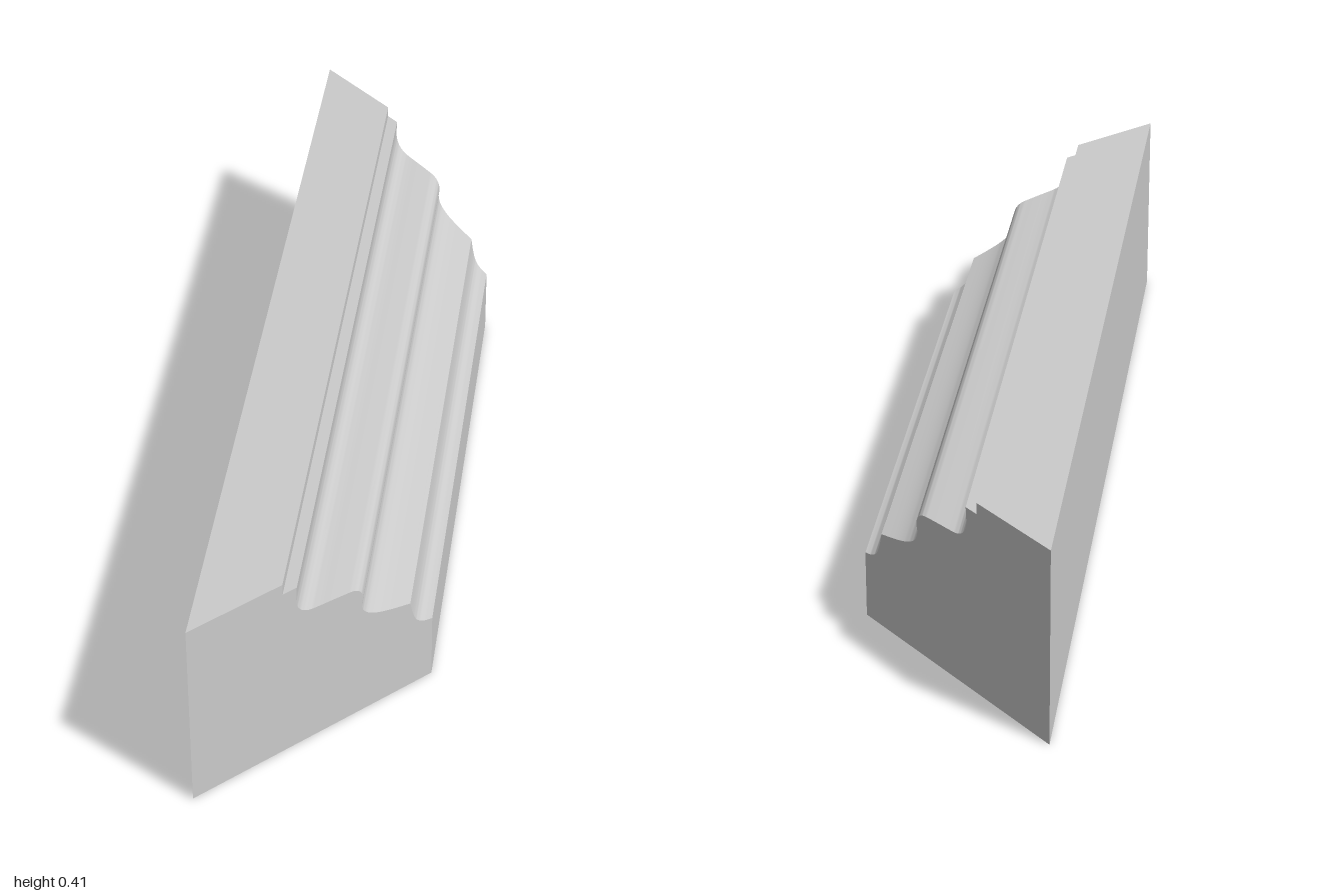
import * as THREE from 'three';
import { toCreasedNormals } from 'three/addons/utils/BufferGeometryUtils.js';

const BACK = -0.203, FRONT = 0.202;
const INNER = 0.597;                        // half length of the front edge
const mitreZ = (x) => INNER + FRONT - x;    // 45 degree mitre at each end

const v2 = (pairs) => pairs.map(([x, y]) => new THREE.Vector2(x, y));
const smooth = (pairs, n) => new THREE.SplineCurve(v2(pairs)).getPoints(n);

// Cross-section from the bottom front corner, over the steps, to the bottom back corner
function makeProfile() {
  const cove = smooth([[FRONT, 0.14], [0.188, 0.144], [0.175, 0.156], [0.168, 0.177], [0.163, 0.205]], 16);
  const ogee = smooth([
    [0.163, 0.205], [0.125, 0.217], [0.1, 0.229], [0.085, 0.244], [0.08, 0.262], [0.082, 0.28],
    [0.078, 0.296], [0.067, 0.306], [0.048, 0.309], [0.03, 0.311], [0, 0.314],
    [-0.012, 0.318], [-0.022, 0.328], [-0.028, 0.347], [-0.027, 0.383],
  ], 56);
  return [
    new THREE.Vector2(FRONT, 0), ...cove, ...ogee.slice(1),
    ...v2([[-0.05, 0.383], [-0.05, 0.406], [BACK, 0.406], [BACK, 0]]),
  ];
}

// Long outer skin swept between the two mitres, open underneath
function skinGeometry(profile) {
  const pos = [];
  const put = (p, side) => pos.push(p.x, p.y, side * mitreZ(p.x));
  for (let i = 0; i < profile.length - 1; i++) {
    const a = profile[i], b = profile[i + 1];
    put(a, 1); put(a, -1); put(b, -1);
    put(a, 1); put(b, -1); put(b, 1);
  }
  const geo = new THREE.BufferGeometry();
  geo.setAttribute('position', new THREE.Float32BufferAttribute(pos, 3));
  return toCreasedNormals(geo, Math.PI / 6);
}

export function createModel() {
  const model = new THREE.Group();
  model.name = 'mitredMoulding';
  const material = new THREE.MeshStandardMaterial({ color: 0xcccccc, side: THREE.DoubleSide });
  const add = (parent, name, geometry) => {
    const mesh = new THREE.Mesh(geometry, material);
    mesh.name = name;
    parent.add(mesh);
  };

  const profile = makeProfile();
  const section = new THREE.Shape(profile);
  add(model, 'mouldingSkin', skinGeometry(profile));

  for (const side of [1, -1]) {
    const end = new THREE.Group();
    end.name = side > 0 ? 'frontEnd' : 'backEnd';
    end.scale.z = side;

    // Slanted end face
    const cap = new THREE.ShapeGeometry(section);
    const p = cap.attributes.position;
    for (let i = 0; i < p.count; i++) p.setZ(i, mitreZ(p.getX(i)));
    cap.computeVertexNormals();
    add(end, 'mitreFace', cap);

    // Square wall closing the wedge off from the hollow middle
    add(end, 'innerWall', new THREE.ShapeGeometry(section).translate(0, 0, INNER));

    // Triangular underside of the wedge
    const triangle = new THREE.Shape(v2([[BACK, INNER], [FRONT, INNER], [BACK, mitreZ(BACK)]]));
    add(end, 'wedgeBottom', new THREE.ShapeGeometry(triangle).rotateX(Math.PI / 2));
    model.add(end);
  }
  return model;
}
